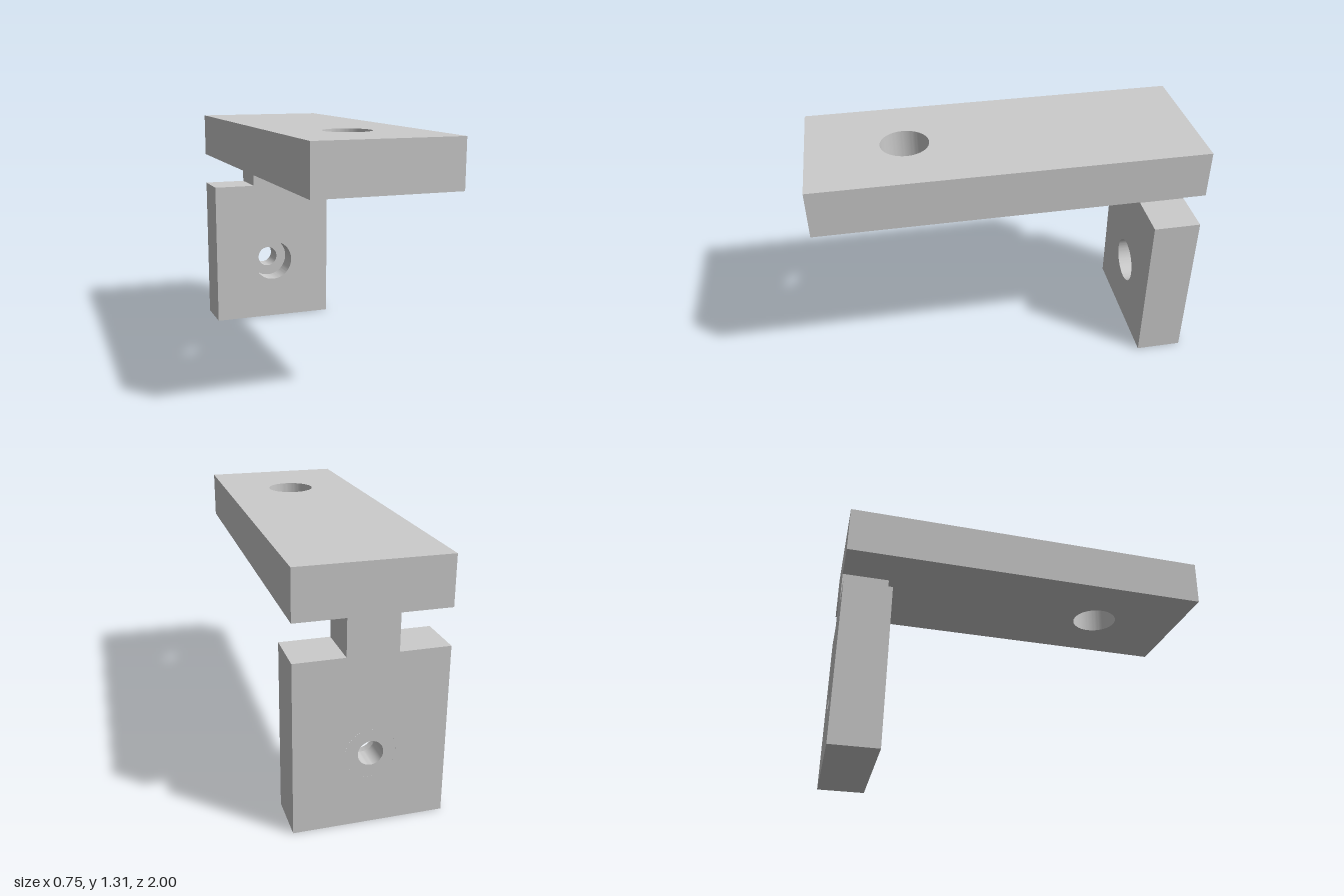
import * as THREE from 'three';
import { toCreasedNormals } from 'three/addons/utils/BufferGeometryUtils.js';

const SEGMENTS = 48;
const HALF_WIDTH = 0.375;
const THICKNESS = 0.25;

// Flat slab with one round hole, extruded along z from 0 to THICKNESS
function slab(points, holeX, holeY, radius) {
  const shape = new THREE.Shape(points.map(([x, y]) => new THREE.Vector2(x, y)));
  shape.holes.push(new THREE.Path().absarc(holeX, holeY, radius, 0, Math.PI * 2, true));
  return new THREE.ExtrudeGeometry(shape, {
    depth: THICKNESS, bevelEnabled: false, curveSegments: SEGMENTS,
  });
}

export function createModel() {
  const group = new THREE.Group();
  const material = new THREE.MeshStandardMaterial({ color: 0xcccccc });
  const add = (name, geometry) => {
    const mesh = new THREE.Mesh(toCreasedNormals(geometry, 0.5), material);
    mesh.name = name;
    group.add(mesh);
    return mesh;
  };

  // Horizontal arm with a through hole near its front end
  const arm = slab(
    [[-HALF_WIDTH, -1], [HALF_WIDTH, -1], [HALF_WIDTH, 1], [-HALF_WIDTH, 1]],
    0, -0.5, 0.125,
  );
  arm.rotateX(-Math.PI / 2);
  add('arm', arm).position.y = 1.0625;

  // Rear plate, narrowing to a neck that carries the arm
  const half = [[HALF_WIDTH, 0], [HALF_WIDTH, 0.875], [0.125, 0.875], [0.125, 1.0625]];
  const mirrored = half.map(([x, y]) => [-x, y]).reverse();
  add('plateAndNeck', slab([...half, ...mirrored], 0, 0.375, 0.125)).position.z = -1;

  // Narrow bore and shoulder behind the counterbore
  const profile = [[0.125, 0.125], [0.0625, 0.125], [0.0625, 0], [0.125, 0]];
  const bore = new THREE.LatheGeometry(
    profile.map(([r, y]) => new THREE.Vector2(r, y)), SEGMENTS,
  );
  bore.rotateX(Math.PI / 2);
  add('counterboreShoulder', bore).position.set(0, 0.375, -1);

  return group;
}
